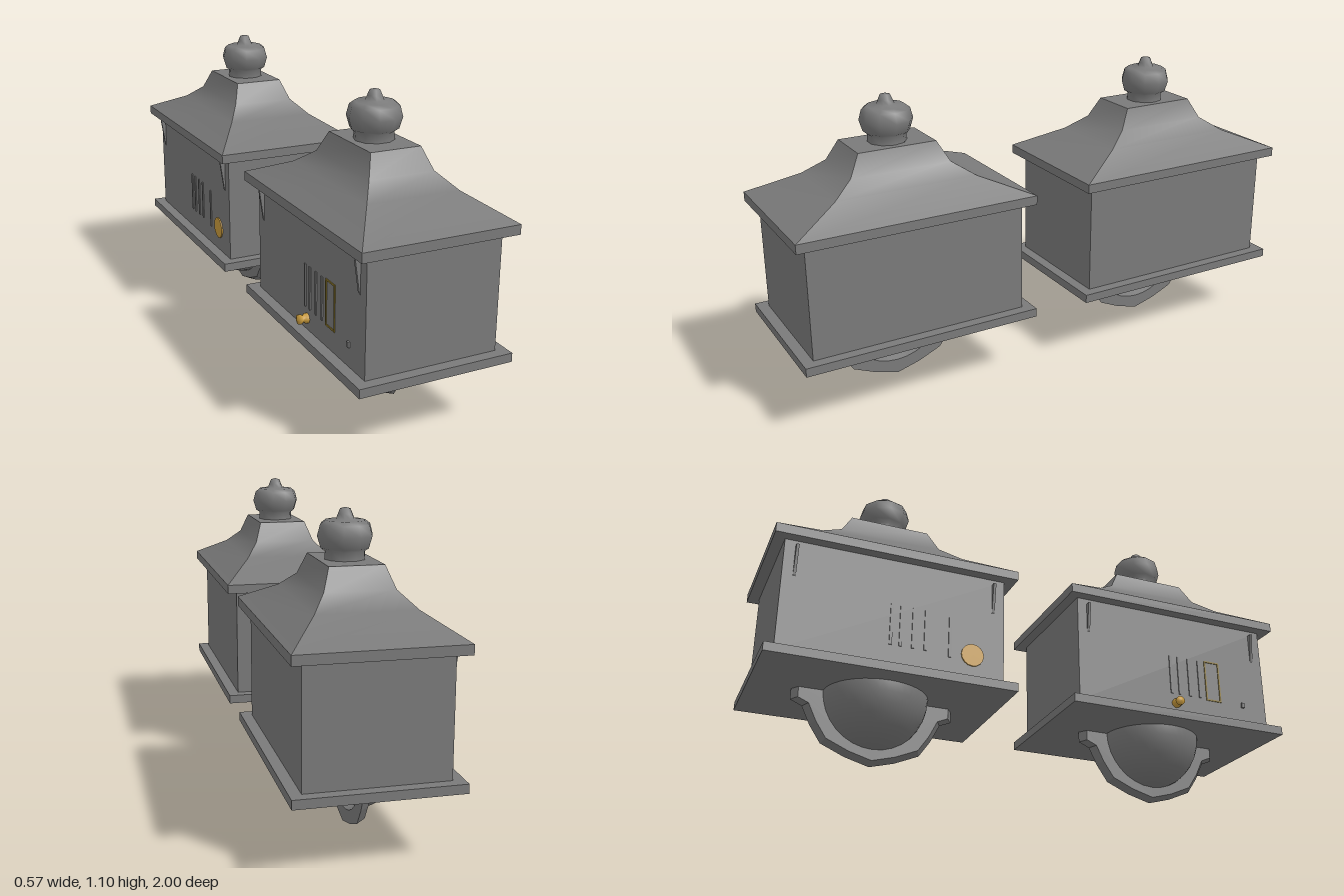
import * as THREE from 'three';

const grey = new THREE.MeshStandardMaterial({ color: 0x7a7a7a });
const greyThin = new THREE.MeshStandardMaterial({ color: 0x7a7a7a, side: THREE.DoubleSide });
const gold = new THREE.MeshStandardMaterial({ color: 0xc89a3c });
const darkGold = new THREE.MeshStandardMaterial({ color: 0x8f7a2c });

function add(parent, name, geometry, material, x = 0, y = 0, z = 0) {
  const mesh = new THREE.Mesh(geometry, material);
  mesh.name = name;
  mesh.position.set(x, y, z);
  parent.add(mesh);
  return mesh;
}

const box = (w, h, d) => new THREE.BoxGeometry(w, h, d);

// Hipped roof: four smooth flared sides meeting at sharp hips, plus a flat top
function roofGeometry() {
  const profile = [[0.283, 0.726, 0.445], [0.17, 0.8, 0.265], [0.12, 0.852, 0.187], [0.093, 0.927, 0.146]];
  const corners = [[1, 1], [1, -1], [-1, -1], [-1, 1]];
  const pos = [], index = [];
  corners.forEach((a, side) => {
    const b = corners[(side + 1) % 4];
    const start = pos.length / 3;
    profile.forEach(([x, y, z]) => pos.push(a[0] * x, y, a[1] * z, b[0] * x, y, b[1] * z));
    for (let i = 0; i < profile.length - 1; i++) {
      const k = start + i * 2;
      index.push(k, k + 1, k + 3, k, k + 3, k + 2);
    }
  });
  const [tx, ty, tz] = profile[profile.length - 1];
  const top = pos.length / 3;
  corners.forEach(([sx, sz]) => pos.push(sx * tx, ty, sz * tz));
  index.push(top, top + 1, top + 2, top, top + 2, top + 3);
  const g = new THREE.BufferGeometry();
  g.setAttribute('position', new THREE.Float32BufferAttribute(pos, 3));
  g.setIndex(index);
  g.computeVertexNormals();
  return g;
}

// Turned ten-sided finial
function finialGeometry() {
  const pts = [[0.07, 0.925], [0.068, 0.955], [0.083, 0.965], [0.095, 1.005], [0.085, 1.042],
    [0.068, 1.055], [0.032, 1.058], [0.025, 1.075], [0.018, 1.092], [0, 1.097]];
  return new THREE.LatheGeometry(pts.map(([r, y]) => new THREE.Vector2(r, y)), 10).rotateY(Math.PI / 2);
}

// Scalloped rim plate hanging below the base, with a round opening
function rimGeometry() {
  const half = [[0.294, 0.25], [0.294, 0.208], [0.252, 0.19], [0.22, 0.125], [0.178, 0.063], [0.09, 0.025], [0, 0]];
  const outline = [...half, ...half.slice(0, -1).reverse().map(([z, y]) => [-z, y])];
  for (let i = 0; i <= 16; i++) {
    const a = Math.PI + (i / 16) * Math.PI;
    outline.push([Math.cos(a) * 0.2, 0.25 + Math.sin(a) * 0.195]);
  }
  const shape = new THREE.Shape(outline.map(([z, y]) => new THREE.Vector2(z, y)));
  const g = new THREE.ExtrudeGeometry(shape, { depth: 0.03, bevelEnabled: false }).rotateY(-Math.PI / 2);
  // Draw the back face in so that the rim's edge is bevelled
  const p = g.attributes.position;
  for (let i = 0; i < p.count; i++) {
    if (p.getX(i) > -0.02) continue;
    p.setZ(i, p.getZ(i) * 0.93);
    p.setY(i, 0.25 + (p.getY(i) - 0.25) * 0.94);
  }
  g.computeVertexNormals();
  return g;
}

// Half-bowl bulging towards -x
function bowlGeometry() {
  return new THREE.SphereGeometry(1, 20, 8, -Math.PI / 2, Math.PI, Math.PI / 2, Math.PI / 2)
    .scale(0.178, 0.195, 0.188);
}

// Tapered bracket on the door side
function bracketGeometry() {
  const shape = new THREE.Shape();
  shape.moveTo(-0.24, 0.55);
  shape.lineTo(-0.24, 0.672);
  shape.lineTo(-0.262, 0.672);
  shape.lineTo(-0.246, 0.56);
  shape.closePath();
  return new THREE.ExtrudeGeometry(shape, { depth: 0.01, bevelEnabled: false }).translate(0, 0, -0.005);
}

// Round door knob pointing to -x
function knobGeometry() {
  const pts = [[0.018, 0], [0.018, 0.01], [0.011, 0.018], [0.017, 0.025], [0.017, 0.036], [0, 0.04]];
  return new THREE.LatheGeometry(pts.map(([r, y]) => new THREE.Vector2(r, y)), 12).rotateZ(Math.PI / 2);
}

function lantern(name, z) {
  const g = new THREE.Group();
  g.name = name;
  g.position.z = z;
  add(g, 'base', box(0.566, 0.032, 0.89), grey, 0, 0.264, 0);
  add(g, 'body', box(0.486, 0.42, 0.81), grey, 0, 0.485, 0);
  add(g, 'eave', box(0.566, 0.034, 0.89), grey, 0, 0.709, 0);
  add(g, 'roof', roofGeometry(), grey);
  add(g, 'finial', finialGeometry(), grey);

  // Bowl with its rim
  add(g, 'bowl', bowlGeometry(), greyThin, -0.028, 0.25, 0);
  add(g, 'bowlRim', rimGeometry(), grey);

  // Brackets and vertical slats on the -x side
  for (const s of [-1, 1]) add(g, 'bracket', bracketGeometry(), grey, 0, 0, s * 0.362);
  for (const sz of [-0.015, 0.02, 0.065, 0.11]) {
    add(g, 'slat', box(0.006, 0.155, 0.01), grey, -0.244, 0.44, sz);
  }
  return g;
}

export function createModel() {
  const model = new THREE.Group();
  model.name = 'lanternPair';
  const front = lantern('frontLantern', 0.555);
  const back = lantern('backLantern', -0.555);
  model.add(front, back);

  // Front lantern: knob, slim gilt frame and a keyhole stud
  add(front, 'knob', knobGeometry(), gold, -0.243, 0.323, 0);
  for (const s of [-1, 1]) {
    add(front, 'frameUpright', box(0.006, 0.165, 0.006), darkGold, -0.243, 0.44, 0.17 + s * 0.03);
    add(front, 'frameRail', box(0.006, 0.006, 0.066), darkGold, -0.243, 0.44 + s * 0.08, 0.17);
  }
  add(front, 'keyStud', box(0.008, 0.02, 0.012), grey, -0.246, 0.36, 0.3);

  // Back lantern: a lone slat and a gilt disc
  add(back, 'slat', box(0.006, 0.155, 0.01), grey, -0.244, 0.43, 0.2);
  add(back, 'disc', new THREE.CylinderGeometry(0.042, 0.042, 0.008, 16).rotateZ(Math.PI / 2),
    gold, -0.244, 0.375, 0.285);
  return model;
}
